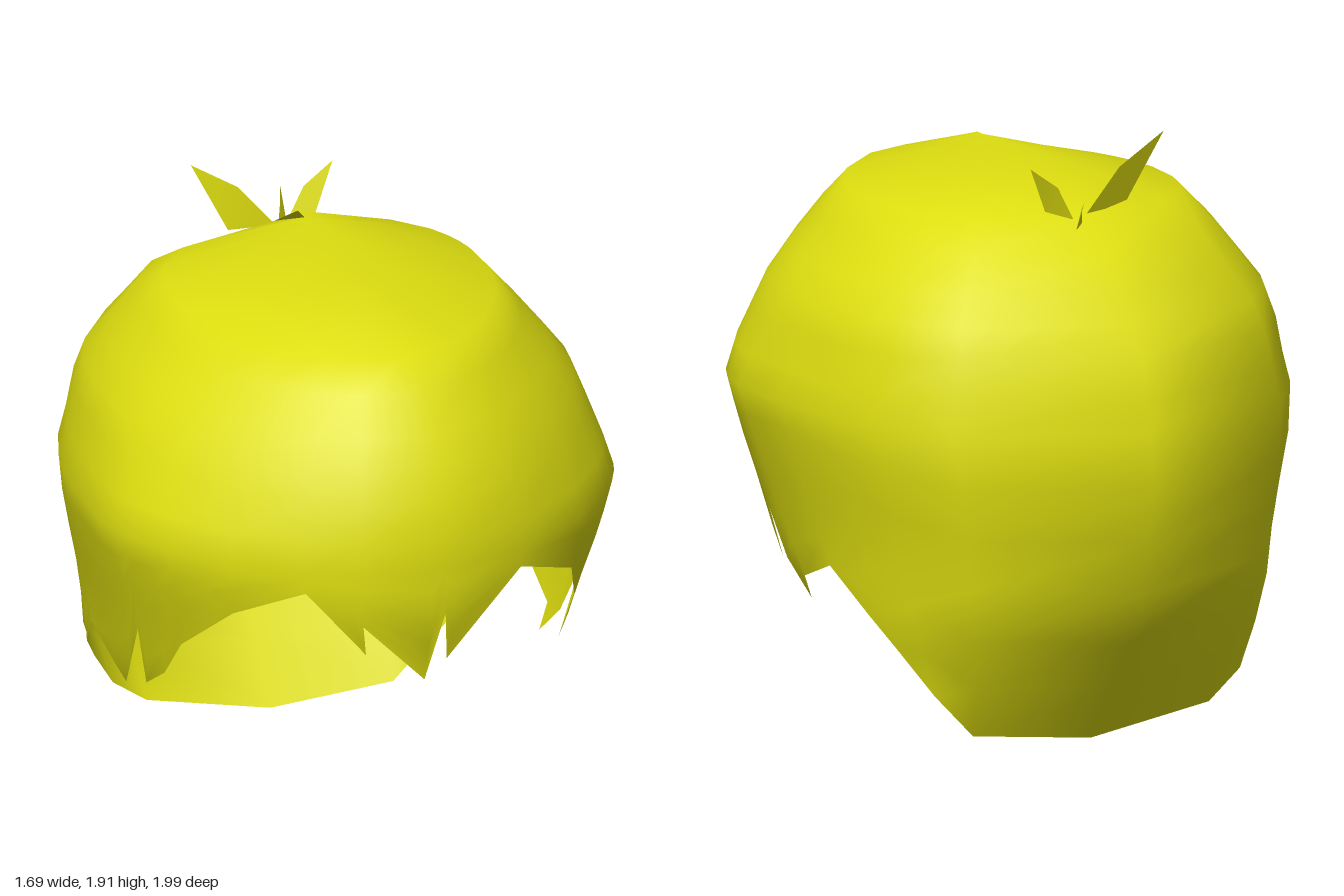
import * as THREE from 'three';

// Horizontal rings: height, front z, back z, half width, z of the widest point
const RINGS = [
  [0.00, 0.80, -0.53, 0.59, -0.38],
  [0.18, 0.84, -0.67, 0.62, -0.30],
  [0.42, 0.90, -0.85, 0.71, -0.12],
  [0.50, 0.91, -0.90, 0.73, 0.00],
  [0.66, 0.92, -0.94, 0.76, 0.07],
  [0.91, 1.00, -1.00, 0.82, 0.15],
  [1.06, 1.00, -0.97, 0.85, 0.20],
  [1.16, 1.00, -0.95, 0.82, 0.18],
  [1.28, 0.97, -0.91, 0.785, 0.10],
  [1.38, 0.93, -0.84, 0.75, 0.06],
  [1.47, 0.88, -0.76, 0.68, 0.05],
  [1.58, 0.80, -0.67, 0.59, 0.03],
  [1.67, 0.71, -0.49, 0.51, 0.02],
  [1.79, 0.28, -0.27, 0.00, 0.00],
];
const TOP = 1.79, DOME = 1.06, LOWER_ROWS = 6;
const DOME_LEVELS = RINGS.map((r) => r[0]).filter((y) => y >= DOME);

// Jagged hem: angle from the front in degrees (positive to +x), height, sideways lean of the tip
const HEM = [
  [-139, 0.08], [-123, 0.17], [-114, 0.30], [-108, 0.39], [-101, 0.54],
  [-86, 0.48], [-79, 0.42], [-75, 0.69], [-73, 0.48], [-67, 0.56],
  [-61, 0.70], [-46, 0.88], [-28, 0.99], [-17, 0.77, 2.5], [-15, 0.90, -2],
  [0, 0.66], [3, 0.91], [5, 0.73], [23, 1.00], [46, 0.88],
  [61, 0.69], [68, 0.48], [75, 0.70], [79, 0.40], [86, 0.48], [101, 0.55],
  [108, 0.42], [114, 0.32], [123, 0.18], [139, 0.04], [180, 0.00],
];

// Point on the shell; the back corners are fuller than the front ones
function shellPoint(angle, y) {
  let k = 0;
  while (k < RINGS.length - 2 && y > RINGS[k + 1][0]) k++;
  const a = RINGS[k], b = RINGS[k + 1];
  const t = (y - a[0]) / (b[0] - a[0]);
  const [front, back, width, mid] = [1, 2, 3, 4].map((n) => THREE.MathUtils.lerp(a[n], b[n], t));
  const c = Math.cos(angle);
  const corner = 1 - 0.035 * Math.sign(c) * Math.sin(2 * angle) ** 2;
  return new THREE.Vector3(
    width * Math.sin(angle) * corner, y, mid + (c > 0 ? front - mid : mid - back) * c * corner);
}

// Smooth outward direction from the slopes around and up the shell
function shellNormal(angle, y) {
  if (y >= TOP) return new THREE.Vector3(0, 1, 0);
  const around = shellPoint(angle + 0.12, y).sub(shellPoint(angle - 0.12, y));
  const up = shellPoint(angle, Math.min(y + 0.09, TOP)).sub(shellPoint(angle, Math.max(y - 0.09, 0)));
  return around.cross(up).normalize();
}

function buildGeometry(positions, index) {
  const g = new THREE.BufferGeometry();
  g.setAttribute('position', new THREE.Float32BufferAttribute(positions, 3));
  g.setIndex(index);
  return g;
}

// Columns run from the hem to the dome, then up its rings to the ridge
function shellGeometry() {
  const positions = [], normals = [], index = [];
  const n = LOWER_ROWS + DOME_LEVELS.length;
  HEM.forEach(([deg, hem, lean = 0], i) => {
    for (let j = 0; j < n; j++) {
      const t = Math.min(j / LOWER_ROWS, 1);
      const y = j < LOWER_ROWS ? hem + (DOME - hem) * t : DOME_LEVELS[j - LOWER_ROWS];
      const angle = THREE.MathUtils.degToRad(deg + lean * (1 - t));
      positions.push(...shellPoint(angle, y));
      normals.push(...shellNormal(angle, y));
    }
    const next = (i + 1) % HEM.length;
    for (let j = 0; j < n - 1; j++) {
      const a = i * n + j, b = next * n + j;
      index.push(a, b, b + 1, a, b + 1, a + 1);
    }
  });
  const g = buildGeometry(positions, index);
  g.setAttribute('normal', new THREE.Float32BufferAttribute(normals, 3));
  return g;
}

// Loose strands on the crown: four corners each
const STRANDS = {
  largeStrand: [[0, 1.66, -0.48], [-0.13, 1.81, -0.47], [-0.29, 1.91, -0.46], [-0.18, 1.69, -0.42]],
  sideStrand: [[0.04, 1.66, -0.49], [0.13, 1.69, -0.47], [0.20, 1.84, -0.51], [0.10, 1.77, -0.50]],
  backStrand: [[0.02, 1.65, -0.51], [0.06, 1.64, -0.55], [0.06, 1.74, -0.61], [0.04, 1.71, -0.55]],
};

function strandGeometry(corners) {
  const g = buildGeometry(corners.flat(), [0, 3, 1, 1, 3, 2]);
  g.computeVertexNormals();
  return g;
}

export function createModel() {
  const yellow = new THREE.MeshStandardMaterial({ color: 0xdede10, side: THREE.DoubleSide });
  yellow.name = 'yellow hair';
  const group = new THREE.Group();
  group.name = 'hair';
  const add = (name, geometry) => {
    const mesh = new THREE.Mesh(geometry, yellow);
    mesh.name = name;
    group.add(mesh);
  };
  add('hairShell', shellGeometry());
  for (const [name, corners] of Object.entries(STRANDS)) add(name, strandGeometry(corners));
  return group;
}
